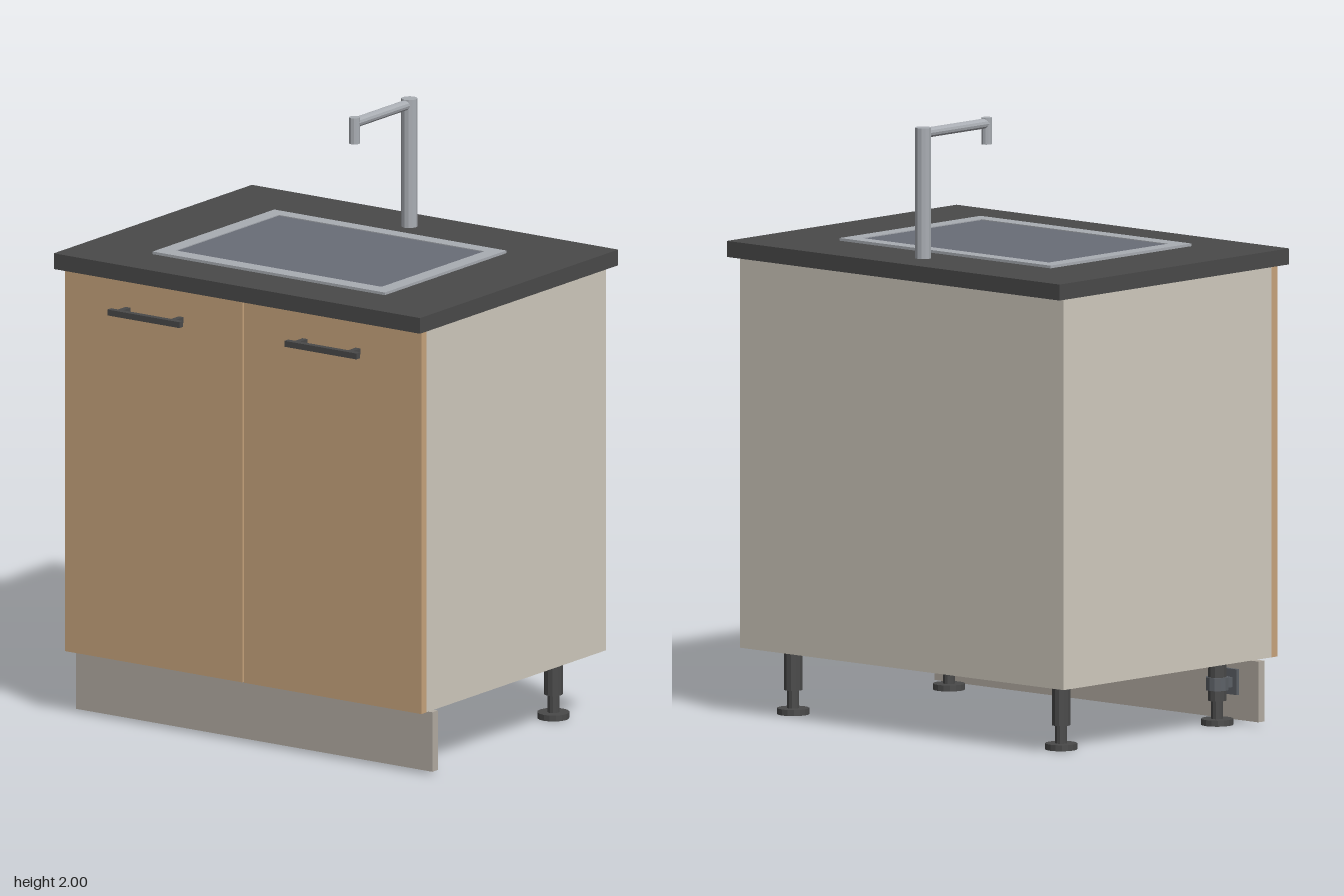
import * as THREE from 'three';

const mat = (name, color) => {
  const m = new THREE.MeshStandardMaterial({ color });
  m.name = name;
  return m;
};

export function createModel() {
  const wood = mat('door wood', 0xc8a47c);
  const body = mat('carcass beige', 0xd0cabe);
  const plinthMat = mat('plinth greige', 0xb3aca2);
  const dark = mat('dark grey', 0x4a4a4a);
  const steel = mat('steel', 0xa9adb3);
  const basinMat = mat('basin grey', 0x696d77);
  const clipMat = mat('clip grey', 0x5c6066);
  for (const m of [steel, dark, clipMat]) m.flatShading = true;

  const model = new THREE.Group();
  const add = (name, geometry, material, x, y, z, parent = model) => {
    const mesh = new THREE.Mesh(geometry, material);
    mesh.name = name;
    mesh.position.set(x, y, z);
    parent.add(mesh);
    return mesh;
  };
  // Box given by its minimum and maximum on each axis
  const box = (name, material, [x0, x1], [y0, y1], [z0, z1], parent) =>
    add(name, new THREE.BoxGeometry(x1 - x0, y1 - y0, z1 - z0), material,
      (x0 + x1) / 2, (y0 + y1) / 2, (z0 + z1) / 2, parent);
  // Upright cylinder between two heights
  const rod = (name, material, r, y0, y1, x, z, parent, sides = 12) =>
    add(name, new THREE.CylinderGeometry(r, r, y1 - y0, sides), material, x, (y0 + y1) / 2, z, parent);

  // Cabinet, worktop and plinth
  box('carcass', body, [-0.717, 0.717], [0.22, 1.515], [-0.53, 0.48]);
  box('worktop', dark, [-0.737, 0.737], [1.515, 1.568], [-0.572, 0.543]);
  box('plinth', plinthMat, [-0.717, 0.717], [0.012, 0.213], [0.415, 0.445]);

  // Doors with bar handles
  for (const s of [-1, 1]) {
    const side = s > 0 ? 'left' : 'right';
    add(side + 'Door', new THREE.BoxGeometry(0.714, 1.291, 0.028), wood, s * 0.36, 0.22 + 0.6455, 0.494);
    const handle = new THREE.Group();
    handle.name = side + 'Handle';
    handle.position.set(s * 0.356, 1.409, 0);
    model.add(handle);
    box('handleBar', dark, [-0.145, 0.145], [-0.01, 0.01], [0.55, 0.571], handle);
    for (const p of [-1, 1])
      box('handlePost', dark, [p * 0.107 - 0.01, p * 0.107 + 0.01], [-0.01, 0.01], [0.508, 0.55], handle);
  }

  // Sink: flat rim frame around the basin surface
  const rim = new THREE.Shape();
  const rect = (path, x, z0, z1) =>
    path.moveTo(-x, -z1).lineTo(x, -z1).lineTo(x, -z0).lineTo(-x, -z0).closePath();
  rect(rim, 0.467, -0.32, 0.364);
  const hole = new THREE.Path();
  rect(hole, 0.414, -0.27, 0.308);
  rim.holes.push(hole);
  const rimGeometry = new THREE.ExtrudeGeometry(rim, { depth: 0.009, bevelEnabled: false });
  rimGeometry.rotateX(-Math.PI / 2);
  add('sinkRim', rimGeometry, steel, 0, 1.568, 0);
  box('sinkBasin', basinMat, [-0.414, 0.414], [1.567, 1.574], [-0.27, 0.308]);

  // Tap: column, horizontal arm and short spout
  const tap = new THREE.Group();
  tap.name = 'tap';
  model.add(tap);
  rod('tapColumn', steel, 0.027, 1.568, 2, 0, -0.427, tap);
  const arm = add('tapArm', new THREE.CylinderGeometry(0.017, 0.017, 0.31, 12), steel, 0, 1.981, -0.272, tap);
  arm.rotation.x = Math.PI / 2;
  rod('tapSpout', steel, 0.018, 1.912, 2, 0, -0.118, tap);

  // Adjustable legs, the front pair with plinth clips
  for (const x of [-0.594, 0.594]) for (const z of [0.35, -0.407]) {
    const leg = new THREE.Group();
    leg.name = z > 0 ? 'frontLeg' : 'backLeg';
    leg.position.set(x, 0, z);
    model.add(leg);
    rod('foot', dark, 0.053, 0, 0.02, 0, 0, leg, 16);
    rod('stem', dark, 0.02, 0.02, 0.085, 0, 0, leg);
    rod('sleeve', dark, 0.031, 0.08, 0.212, 0, 0, leg);
    box('mountingPlate', dark, [-0.053, 0.053], [0.21, 0.22], [-0.053, 0.053], leg);
    if (z > 0) {
      rod('clipRing', clipMat, 0.038, 0.115, 0.158, 0, 0, leg);
      box('clipArm', clipMat, [-0.02, 0.02], [0.12, 0.153], [0.03, 0.055], leg);
      box('clipPlate', clipMat, [-0.037, 0.037], [0.095, 0.18], [0.053, 0.065], leg);
    }
  }
  return model;
}
